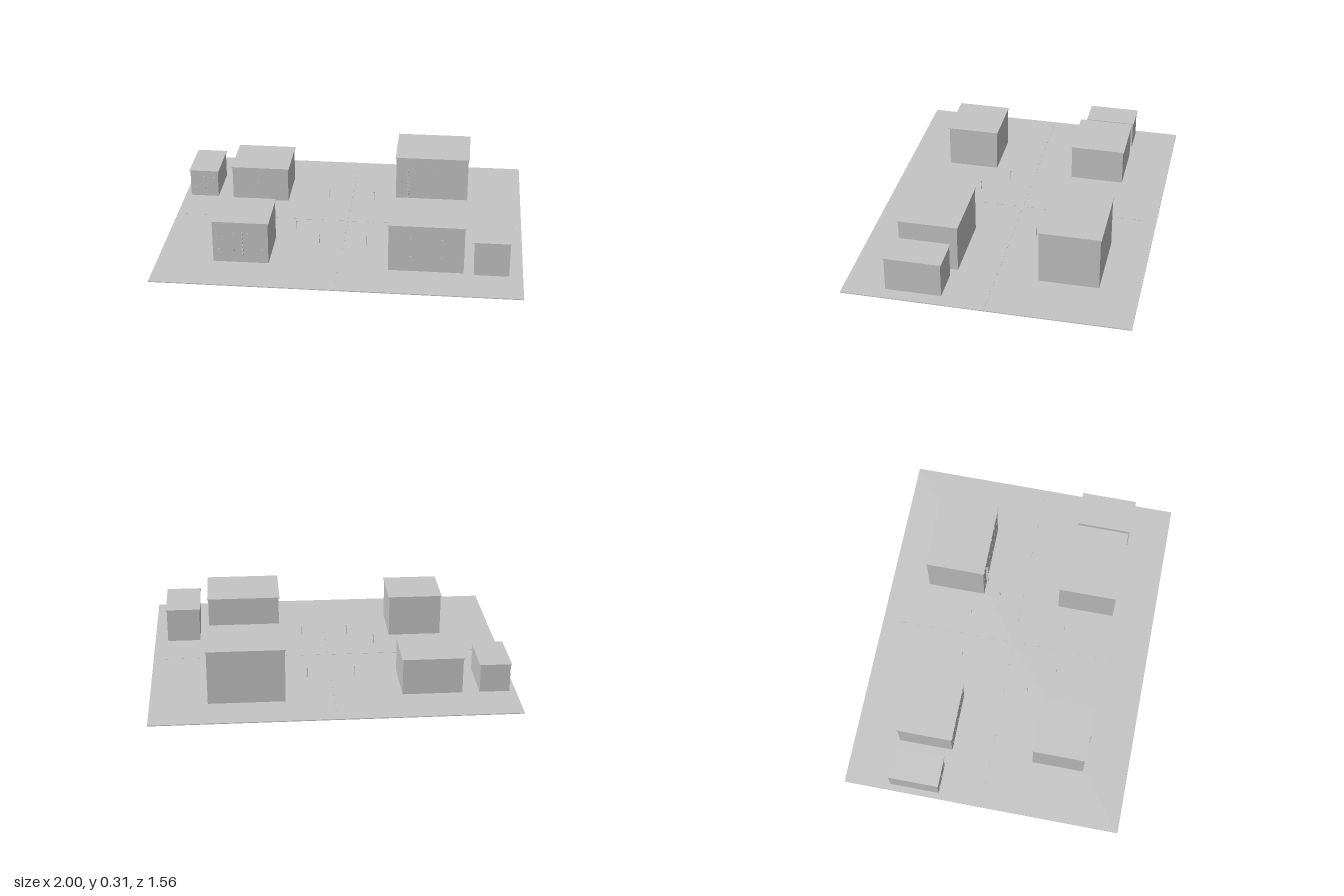
import * as THREE from 'three';

const concrete = new THREE.MeshStandardMaterial({ color: 0xc4c4c4 });
concrete.name = 'concrete grey';

const GROUND = 0.005;

// Box placed by its centre in x and z and by its underside in y
function box(parent, name, w, h, d, x, y, z) {
  const mesh = new THREE.Mesh(new THREE.BoxGeometry(w, h, d), concrete);
  mesh.name = name;
  mesh.position.set(x, y + h / 2, z);
  parent.add(mesh);
  return mesh;
}

// Building with an overhanging roof slab and small windows on the front;
// x0..x1 and z0..z1 are the outline of the roof
function building(parent, name, x0, x1, z0, z1, top, cols, rows, signX) {
  const g = new THREE.Group();
  g.name = name;
  const x = (x0 + x1) / 2, z = (z0 + z1) / 2, w = x1 - x0, d = z1 - z0;
  const slab = 0.006, lip = 0.005;
  box(g, 'walls', w - 2 * lip, top - slab - GROUND, d - 2 * lip, x, GROUND, z);
  box(g, 'roof', w, slab, d, x, top - slab, z);

  const face = z1 - lip;
  for (let r = 0; r < rows; r++) {
    for (let c = 0; c < cols; c++) {
      const wx = x0 + w * (c + 0.5) / cols;
      const wy = GROUND + (top - GROUND) * (r + 0.7) / (rows + 0.5);
      box(g, 'window', 0.01, 0.012, 0.003, wx, wy, face + 0.001);
    }
  }
  // Vertical column of small sign plates standing off the wall
  if (signX !== undefined) {
    for (let y = 0.05; y < top - 0.07; y += 0.025) {
      box(g, 'signPlate', 0.006, 0.014, 0.014, signX, y, face + 0.007);
    }
  }
  parent.add(g);
}

// Thin post with a small lamp head
function streetPost(parent, x, z) {
  const g = new THREE.Group();
  g.name = 'streetPost';
  const pole = new THREE.Mesh(new THREE.CylinderGeometry(0.002, 0.002, 0.05, 6), concrete);
  pole.name = 'pole';
  pole.position.y = GROUND + 0.025;
  g.add(pole);
  box(g, 'lampHead', 0.006, 0.008, 0.006, 0, GROUND + 0.048, 0);
  g.position.set(x, 0, z);
  parent.add(g);
}

export function createModel() {
  const city = new THREE.Group();
  city.name = 'cityCrossing';

  box(city, 'ground', 2, GROUND, 1.56, 0, 0, 0);

  // Back row of buildings
  building(city, 'backRightShed', -0.97, -0.795, -0.53, -0.24, 0.17, 3, 2);
  building(city, 'backRightBlock', -0.71, -0.37, -0.53, -0.215, 0.215, 5, 2);
  building(city, 'backLeftTower', 0.26, 0.69, -0.565, -0.225, 0.315, 6, 3, 0.335);

  // Front row of buildings
  building(city, 'frontRightBlock', -0.695, -0.38, 0.235, 0.535, 0.25, 4, 2, -0.525);
  building(city, 'frontLeftTower', 0.265, 0.685, 0.21, 0.545, 0.28, 5, 2);
  building(city, 'frontLeftShed', 0.73, 0.93, 0.24, 0.557, 0.205, 2, 2);

  // Posts around the crossing
  for (const sx of [-1, 1]) for (const sz of [-1, 1]) streetPost(city, sx * 0.133, sz * 0.278);
  streetPost(city, 0.275, -0.137);
  streetPost(city, -0.28, 0.132);

  // Dashed centre lines of both roads
  const dash = 0.04, pitch = 0.089;
  for (const s of [-1, 1]) {
    for (let i = 0; i < 11; i++) {
      const p = s * (i + 0.5) * pitch;
      box(city, 'laneDash', dash, 0.002, 0.006, p, GROUND, 0);
      if (i < 8) box(city, 'laneDash', 0.006, 0.002, dash, 0, GROUND, p);
    }
  }
  return city;
}
